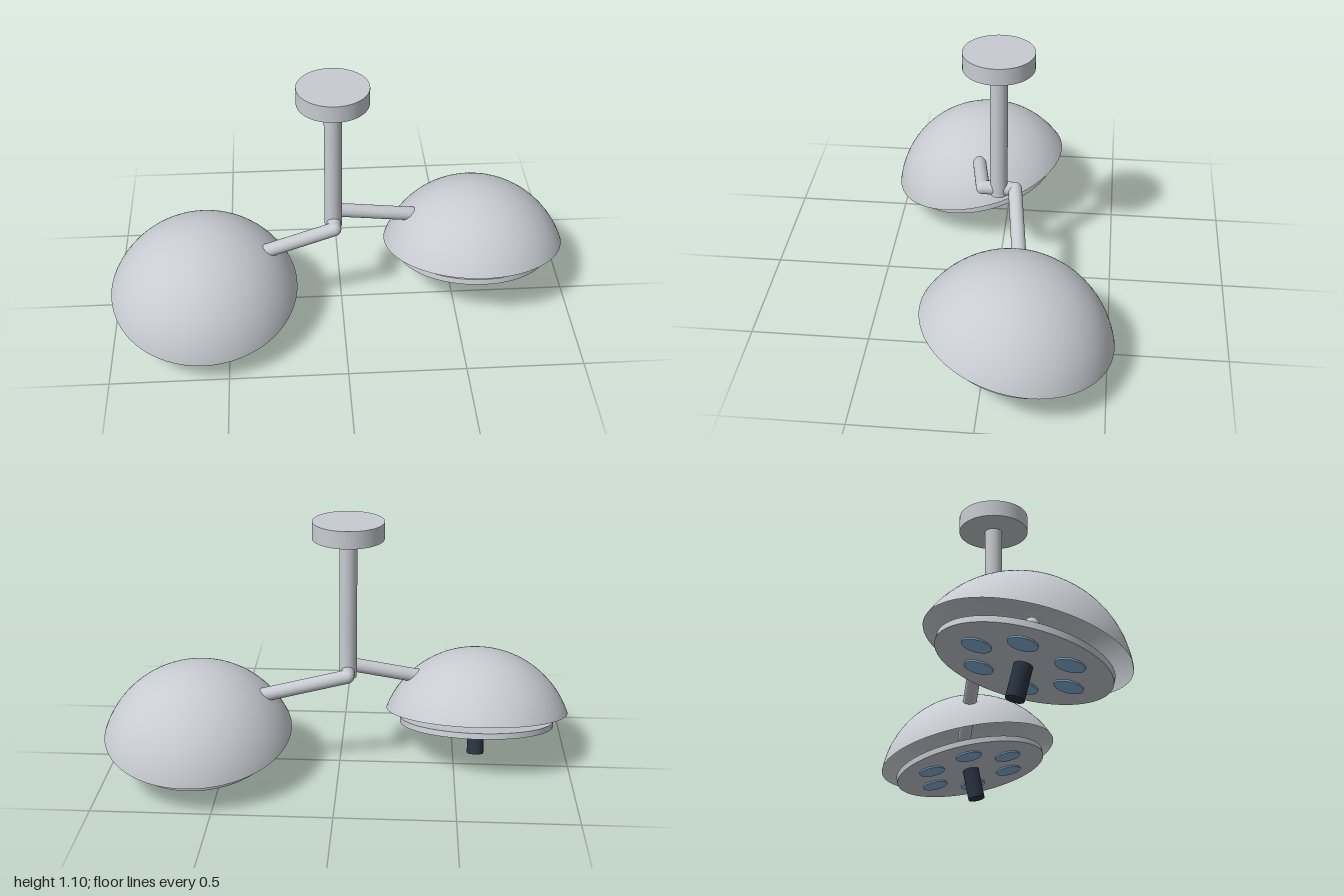
import * as THREE from 'three';

function material(name, color, side = THREE.FrontSide) {
  const m = new THREE.MeshStandardMaterial({ color, side });
  m.name = name;
  return m;
}

export function createModel() {
  const model = new THREE.Group();
  model.name = 'ceilingLamp';
  const grey = material('light grey', 0xc8ccd2, THREE.DoubleSide);
  const dark = material('dark navy', 0x2a3342);
  const blue = material('lens blue', 0x86b4d6);

  const add = (parent, name, geometry, mat, x = 0, y = 0, z = 0) => {
    const mesh = new THREE.Mesh(geometry, mat);
    mesh.name = name;
    mesh.position.set(x, y, z);
    parent.add(mesh);
    return mesh;
  };

  // Round-ended rod between two points
  const rod = (name, a, b, r) => {
    const dir = b.clone().sub(a);
    const mid = a.clone().add(b).multiplyScalar(0.5);
    const mesh = add(model, name, new THREE.CapsuleGeometry(r, dir.length(), 10, 28), grey, mid.x, mid.y, mid.z);
    mesh.quaternion.setFromUnitVectors(new THREE.Vector3(0, 1, 0), dir.normalize());
  };

  // Ceiling plate and drop tube
  const stemX = -0.035;
  add(model, 'ceilingPlate', new THREE.CylinderGeometry(0.15, 0.15, 0.074, 64), grey, stemX, 1.065, 0);
  add(model, 'stem', new THREE.CylinderGeometry(0.0375, 0.0375, 0.63, 40), grey, stemX, 0.725, 0);

  // Short crossbar carrying both arms
  const jointY = 0.437;
  rod('armJoint', new THREE.Vector3(stemX, jointY, -0.07), new THREE.Vector3(stemX, jointY, 0.07), 0.03);

  // Lamp heads; the local origin is the centre of the dome rim
  const rimR = 0.4, domeAngle = THREE.MathUtils.degToRad(69.4);
  const domeR = rimR / Math.sin(domeAngle);
  const heads = [
    { side: 'left', x: 0.6, y: 0.207, z: -0.134, tilt: -0.2 },
    { side: 'right', x: -0.6, y: 0.203, z: 0.14, tilt: 0.24 },
  ];
  for (const h of heads) {
    const head = new THREE.Group();
    head.name = h.side + 'LampHead';
    head.position.set(h.x, h.y, h.z);
    head.rotation.x = h.tilt;
    model.add(head);

    // Open dome shell
    add(head, 'dome', new THREE.SphereGeometry(domeR, 64, 28, 0, Math.PI * 2, 0, domeAngle), grey,
      0, -domeR * Math.cos(domeAngle), 0);
    // Light panel, lenses and grip
    add(head, 'lightPanel', new THREE.CylinderGeometry(0.339, 0.339, 0.025, 64), grey, 0, -0.05, 0);
    for (let i = 0; i < 6; i++) {
      const a = (i * Math.PI) / 3;
      add(head, 'lens', new THREE.CylinderGeometry(0.057, 0.057, 0.008, 32), blue,
        0.2 * Math.cos(a), -0.065, 0.2 * Math.sin(a));
    }
    add(head, 'handle', new THREE.CylinderGeometry(0.037, 0.037, 0.14, 32), dark, 0, -0.13, 0);

    // Arm reaching inside the dome
    rod(h.side + 'Arm', new THREE.Vector3(stemX, jointY, Math.sign(h.z) * 0.07),
      new THREE.Vector3(h.x, 0.307, h.z + Math.sign(h.z) * 0.018), 0.03);
  }
  return model;
}
